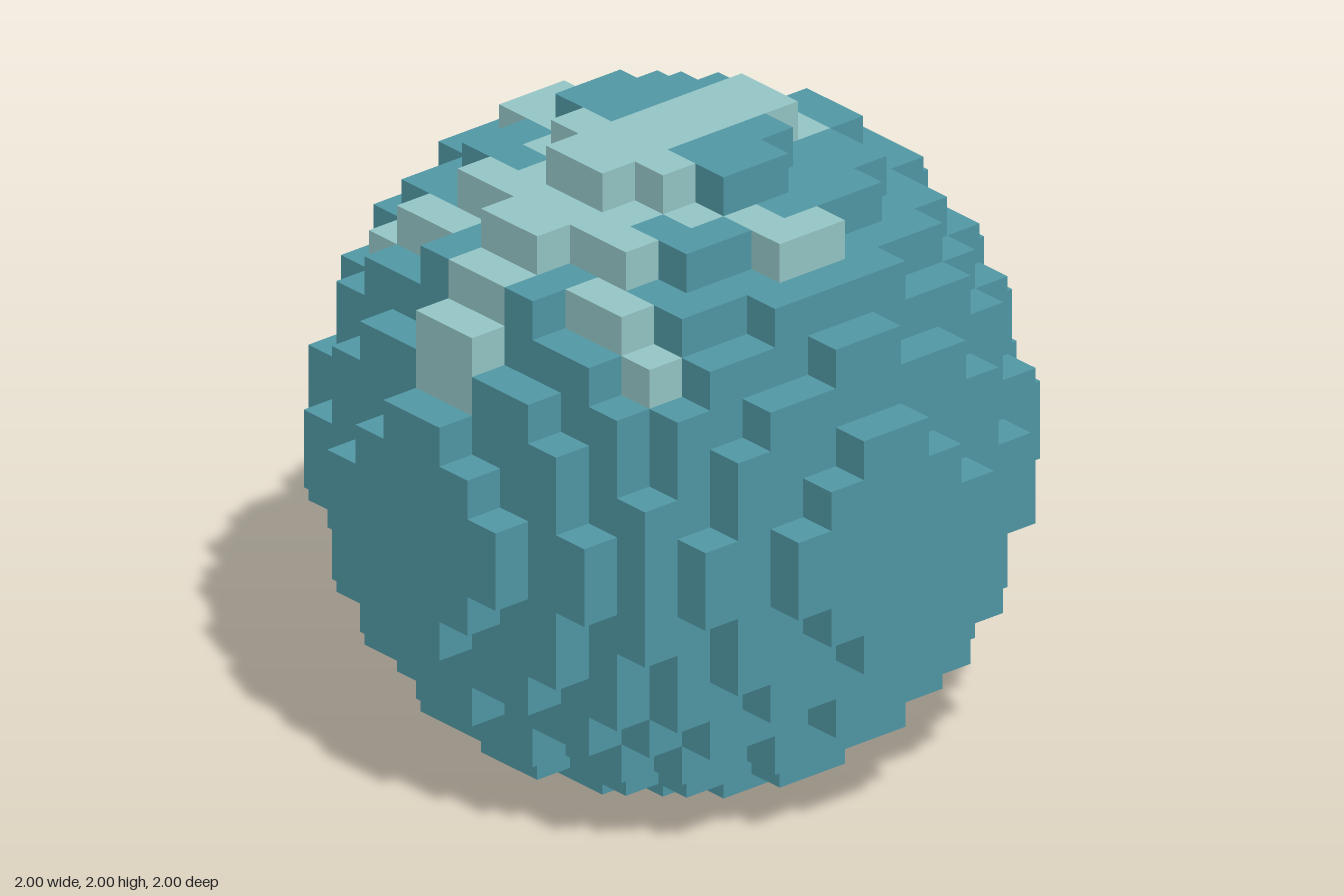
import * as THREE from 'three';
import { mergeGeometries } from 'three/addons/utils/BufferGeometryUtils.js';

const VOXEL = 0.125;
const HALF = 8; // ball radius in voxels

// Crest pattern seen from above: depth row -> ranges of |x| columns that are pale
const CREST = {
  '-4': [[0, 0]], '-3': [[0, 0]], '-2': [[0, 0]],
  '-1': [[0, 0], [4, 4]],
  0: [[0, 0], [3, 4]],
  1: [[0, 2]],
  2: [[0, 1]],
  3: [[0, 2]],
  4: [[0, 0], [2, 4]],
  5: [[0, 0]], 6: [[0, 0]],
};

const DIRECTIONS = [
  [1, 0, 0], [-1, 0, 0], [0, 1, 0], [0, -1, 0], [0, 0, 1], [0, 0, -1],
].map((d) => new THREE.Vector3(...d));

// Voxel indices run from -8 to 7, with centres at half steps
const isSolid = (i, j, k) =>
  (i + 0.5) ** 2 + (j + 0.5) ** 2 + (k + 0.5) ** 2 < HALF * HALF;

function isPale(i, j, k) {
  if (j < 0) return false;
  const column = i < 0 ? -i - 1 : i;
  return (CREST[k] || []).some(([from, to]) => column >= from && column <= to);
}

// One outward square on the given side of a voxel
function voxelFace(i, j, k, dir) {
  const turn = new THREE.Quaternion().setFromUnitVectors(new THREE.Vector3(0, 0, 1), dir);
  const centre = new THREE.Vector3(i + 0.5, j + 0.5, k + 0.5)
    .addScaledVector(dir, 0.5)
    .multiplyScalar(VOXEL);
  return new THREE.PlaneGeometry(VOXEL, VOXEL)
    .applyQuaternion(turn)
    .translate(centre.x, centre.y + 1, centre.z);
}

export function createModel() {
  const teal = new THREE.MeshStandardMaterial({ color: 0x529aa7 });
  teal.name = 'teal';
  const paleTeal = new THREE.MeshStandardMaterial({ color: 0x97c9c8 });
  paleTeal.name = 'pale teal';

  // Collect the exposed faces of the stepped ball by colour
  const ballFaces = [];
  const crestFaces = [];
  for (let i = -HALF; i < HALF; i++) {
    for (let j = -HALF; j < HALF; j++) {
      for (let k = -HALF; k < HALF; k++) {
        if (!isSolid(i, j, k)) continue;
        const faces = isPale(i, j, k) ? crestFaces : ballFaces;
        for (const dir of DIRECTIONS) {
          if (!isSolid(i + dir.x, j + dir.y, k + dir.z)) {
            faces.push(voxelFace(i, j, k, dir));
          }
        }
      }
    }
  }

  const model = new THREE.Group();
  model.name = 'steppedBall';

  const ball = new THREE.Mesh(mergeGeometries(ballFaces), teal);
  ball.name = 'ball';
  const crest = new THREE.Mesh(mergeGeometries(crestFaces), paleTeal);
  crest.name = 'crestPattern';
  model.add(ball, crest);
  return model;
}
